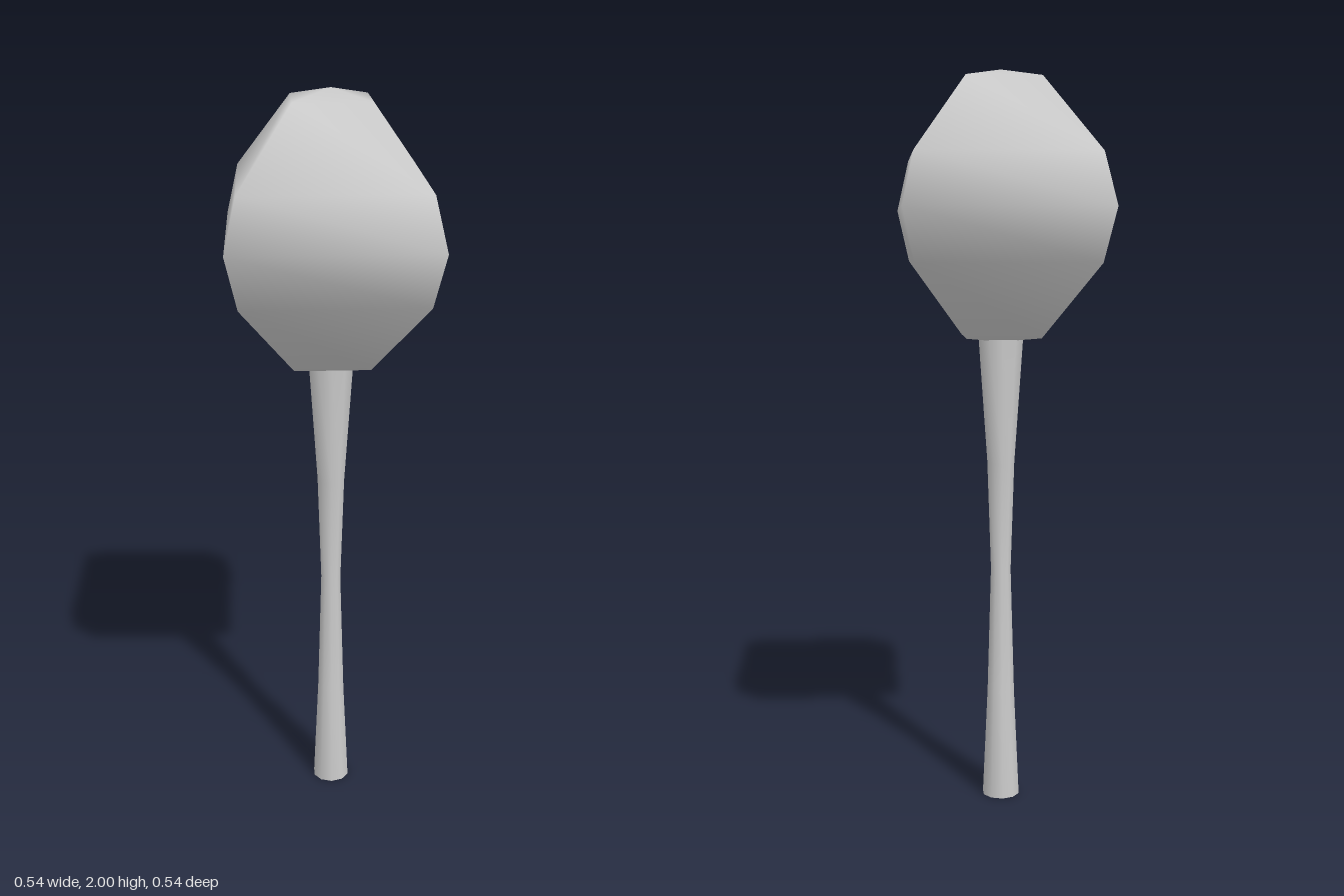
import * as THREE from 'three';
import { mergeVertices } from 'three/addons/utils/BufferGeometryUtils.js';

const material = new THREE.MeshStandardMaterial({ color: 0xcccccc });

// Turned part with welded, smooth-shaded sides; profile is [radius, height], bottom to top
function turned(name, profile, sides, startAngle = 0) {
  const points = profile.map(([r, y]) => new THREE.Vector2(r, y));
  const lathe = new THREE.LatheGeometry(points, sides, startAngle);
  lathe.deleteAttribute('normal');
  lathe.deleteAttribute('uv');
  const geometry = mergeVertices(lathe, 1e-4);
  geometry.computeVertexNormals();
  const mesh = new THREE.Mesh(geometry, material);
  mesh.name = name;
  return mesh;
}

export function createModel() {
  const group = new THREE.Group();
  group.name = 'squareTree';

  // Crown: square cross-section, half-widths turned into corner radii
  const crown = [
    [0, 1.28], [0.1, 1.295], [0.24, 1.495], [0.271, 1.637],
    [0.24, 1.775], [0.1, 1.975], [0, 2],
  ].map(([half, y]) => [half * Math.SQRT2, y]);
  group.add(turned('crown', crown, 4, Math.PI / 4));

  // Trunk: narrow waist, flaring to both ends
  const trunk = [[0.052, 0], [0.038, 0.3], [0.028, 0.65], [0.038, 0.95], [0.062, 1.29]];
  group.add(turned('trunk', trunk, 10));

  // Flat underside of the trunk
  const base = new THREE.Mesh(new THREE.CircleGeometry(0.052, 10, Math.PI / 2), material);
  base.rotation.x = Math.PI / 2;
  base.name = 'trunkBase';
  group.add(base);

  return group;
}
